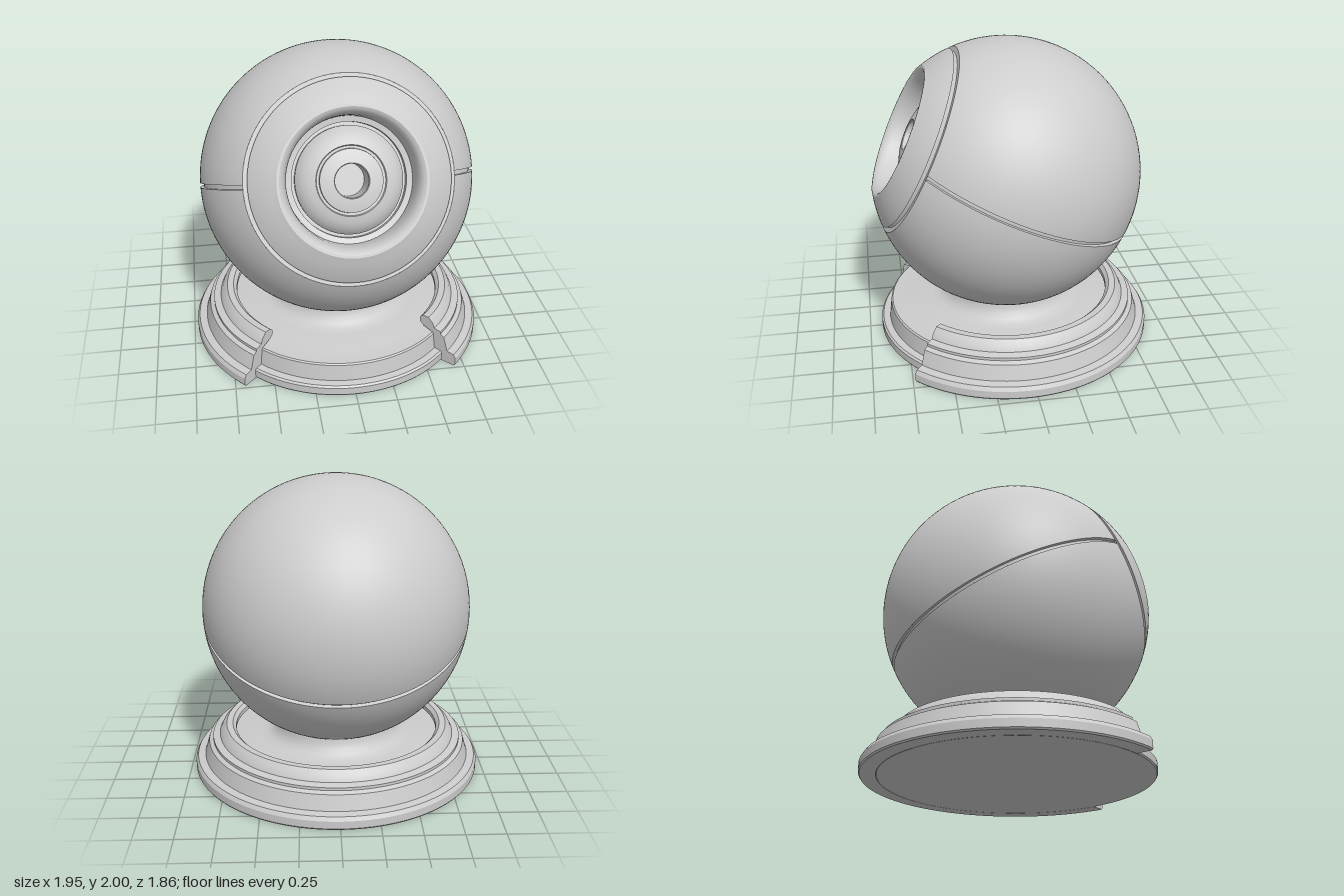
import * as THREE from 'three';
import { toCreasedNormals } from 'three/addons/utils/BufferGeometryUtils.js';
import { ParametricGeometry } from 'three/addons/geometries/ParametricGeometry.js';

const R = 0.885;          // ball radius
const CORE = 0.862;       // radius at the bottom of the grooves
const GAP = 0.014;        // half width of the seam
const CUT = 0.62;         // where the shell stops before the face plate
const PLATE = 0.645;      // where the face plate starts
const CENTRE_Z = 0.045;
const TILT = THREE.MathUtils.degToRad(25);

const grey = new THREE.MeshStandardMaterial({ color: 0xcccccc, side: THREE.DoubleSide });
grey.name = 'light grey';

const vec = (p) => new THREE.Vector2(p[0], p[1]);

function part(name, geometry) {
  const mesh = new THREE.Mesh(geometry, grey);
  mesh.name = name;
  return mesh;
}

// Turned part with sharp profile corners kept sharp
function turned(points, start = 0, length = Math.PI * 2, segments = 96) {
  return toCreasedNormals(new THREE.LatheGeometry(points.map(vec), segments, start, length), 0.5);
}

// Profile points [radius, axial] along a circle of radius r between two axial positions
function arc(r, from, to, count) {
  const a = Math.asin(from / r), b = Math.asin(to / r);
  return Array.from({ length: count + 1 }, (_, i) => {
    const t = a + (b - a) * i / count;
    return [Math.max(0, r * Math.cos(t)), r * Math.sin(t)];
  });
}

// Half of the outer shell, with a parallel-sided seam and its flat wall
function shellHalf(name) {
  const half = new THREE.Group();
  half.name = name;
  const a0 = Math.acos(CUT / R), a1 = Math.PI - Math.asin(GAP / R);
  half.add(part('shell', new ParametricGeometry((u, v, target) => {
    const a = a0 + (a1 - a0) * v;
    const rho = R * Math.sin(a);
    const edge = Math.asin(Math.min(1, GAP / rho));
    const t = Math.PI - edge - u * (Math.PI - 2 * edge);
    target.set(rho * Math.cos(t), rho * Math.sin(t), R * Math.cos(a));
  }, 64, 48)));

  const t = Math.asin(CUT / R);
  const wall = new THREE.RingGeometry(CORE - 0.01, Math.sqrt(R * R - GAP * GAP), 96, 1, Math.PI - t, Math.PI + 2 * t);
  wall.rotateX(Math.PI / 2).translate(0, GAP, 0);
  half.add(part('seamWall', wall));
  return half;
}

function createBall() {
  const ball = new THREE.Group();
  ball.name = 'ball';
  ball.position.set(0, 1.115, CENTRE_Z);
  ball.rotation.x = -TILT;

  const upper = shellHalf('upperShell');
  const lower = shellHalf('lowerShell');
  lower.rotation.z = Math.PI;
  ball.add(upper, lower);

  // Inner core seen at the bottom of the grooves
  const core = turned(arc(CORE, -CORE, PLATE, 40));
  ball.add(part('core', core.rotateX(Math.PI / 2)));

  const rim = new THREE.RingGeometry(0.57, Math.sqrt(R * R - CUT * CUT), 96);
  ball.add(part('shellFrontEdge', rim.translate(0, 0, CUT)));

  // Face plate with rolled lip and cavity
  const plate = turned([
    [0.56, PLATE], ...arc(R, PLATE, 0.758, 8),
    [0.445, 0.766], [0.43, 0.766], [0.415, 0.757], [0.402, 0.74], [0.392, 0.715],
    [0.385, 0.685], [0.382, 0.65], [0.38, 0.6], [0.345, 0.59], [0.345, 0.55], [0.3, 0.55],
  ]);
  ball.add(part('facePlate', plate.rotateX(Math.PI / 2)));

  // Domed centre with ring groove and blind hole
  const dome = turned([
    [0.325, 0.55], [0.325, 0.587], [0.313, 0.608], [0.285, 0.638], [0.25, 0.661], [0.21, 0.675],
    [0.205, 0.665], [0.19, 0.665], [0.188, 0.682], [0.15, 0.694], [0.105, 0.7],
    [0.1, 0.695], [0.1, 0.525], [0, 0.525],
  ]);
  ball.add(part('centreDome', dome.rotateX(Math.PI / 2)));
  return ball;
}

function createBase() {
  const base = new THREE.Group();
  base.name = 'base';
  base.position.z = CENTRE_Z;

  // Inner foot, dish and flared neck
  base.add(part('footAndNeck', turned([
    [0, 0], [0.865, 0], [0.872, 0.01], [0.872, 0.06], [0.86, 0.072], [0.815, 0.076], [0.8, 0.185],
    [0.79, 0.193], [0.66, 0.195], [0.62, 0.205], [0.52, 0.206], [0.47, 0.214], [0.435, 0.232],
    [0.41, 0.262], [0.396, 0.295], [0.39, 0.335],
  ])));

  // Stepped outer rim, open over the front quarter
  const profile = [
    [0.868, 0], [0.968, 0], [0.975, 0.01], [0.975, 0.06], [0.96, 0.085], [0.91, 0.092],
    [0.88, 0.19], [0.852, 0.203], [0.852, 0.222], [0.805, 0.232], [0.79, 0.265], [0.757, 0.298],
    [0.715, 0.298], [0.692, 0.275], [0.692, 0.245], [0.72, 0.22], [0.795, 0.195], [0.815, 0.076],
    [0.865, 0.07], [0.868, 0],
  ];
  base.add(part('outerRim', turned(profile, Math.PI / 4, Math.PI * 1.5)));

  const section = new THREE.Shape(profile.slice(0, -1).map(vec));
  for (const side of [1, -1]) {
    const cap = part(side > 0 ? 'leftRimEnd' : 'rightRimEnd', new THREE.ShapeGeometry(section));
    cap.rotation.y = side * Math.PI / 4 - Math.PI / 2;
    base.add(cap);
  }
  return base;
}

export function createModel() {
  const model = new THREE.Group();
  model.name = 'displayBall';
  model.add(createBase(), createBall());
  return model;
}
